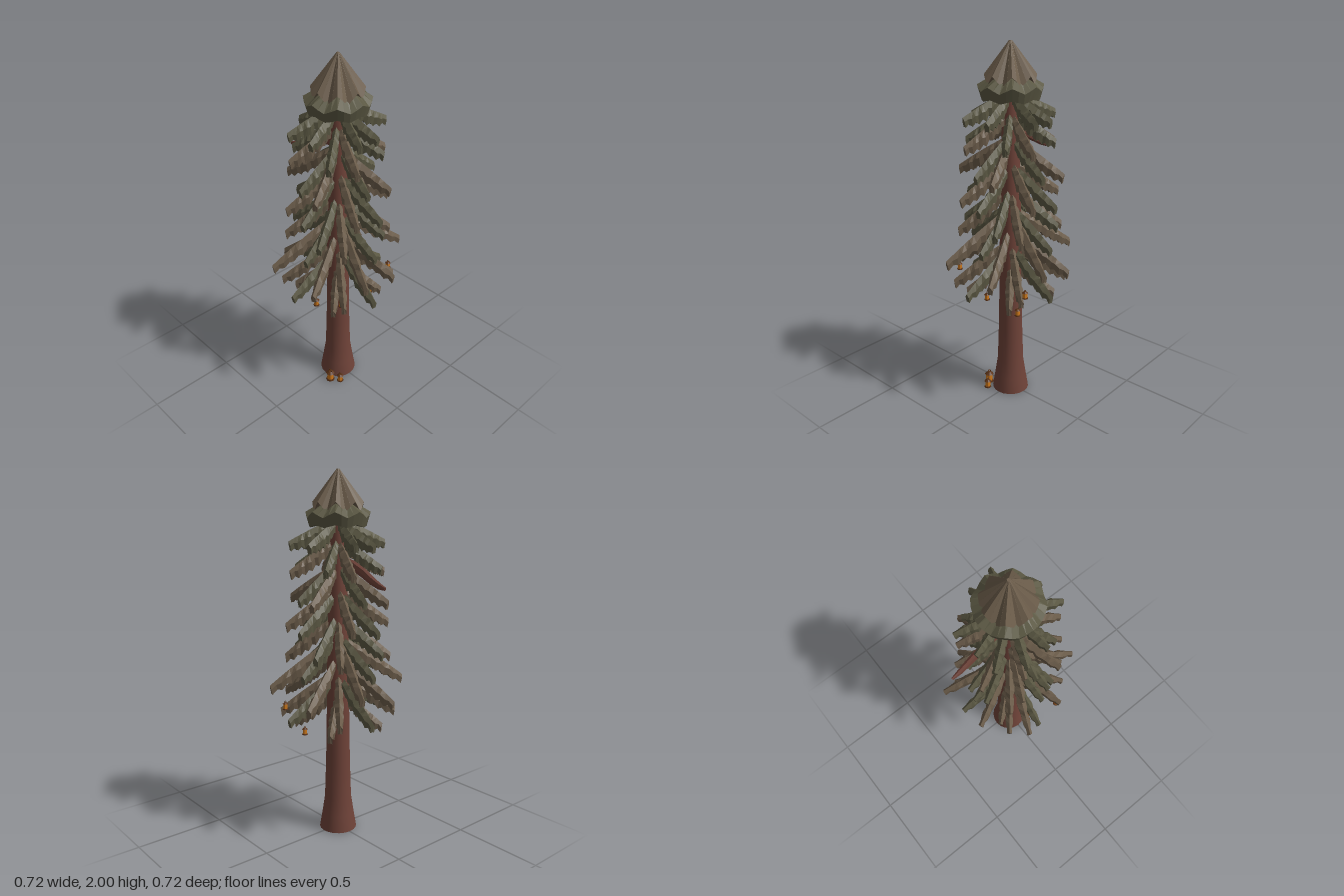
import * as THREE from 'three';
import { toCreasedNormals } from 'three/addons/utils/BufferGeometryUtils.js';

const mat = (color, flat = true) =>
  new THREE.MeshStandardMaterial({ color, flatShading: flat, side: THREE.DoubleSide });
const bark = mat(0x6e4238, false), deadWood = mat(0x6e4238);
const brown = mat(0x6b5c4a), green = mat(0x5b5843);
const amber = mat(0xd07a1c), iron = mat(0x5a3216);

function part(parent, name, geometry, material, x = 0, y = 0, z = 0) {
  const mesh = new THREE.Mesh(geometry, material);
  mesh.name = name;
  mesh.position.set(x, y, z);
  parent.add(mesh);
  return mesh;
}

// Skins a list of equal-length cross-section rings, with both ends closed
function loft(rings) {
  const n = rings[0].length, pos = rings.flat(2), idx = [];
  for (let i = 0; i < rings.length - 1; i++)
    for (let j = 0; j < n; j++) {
      const a = i * n + j, b = i * n + (j + 1) % n;
      idx.push(a, b, a + n, b, b + n, a + n);
    }
  const last = (rings.length - 1) * n;
  for (let j = 1; j < n - 1; j++) idx.push(0, j + 1, j, last, last + j, last + j + 1);
  const g = new THREE.BufferGeometry();
  g.setAttribute('position', new THREE.Float32BufferAttribute(pos, 3));
  g.setIndex(idx);
  g.computeVertexNormals();
  return g;
}

// Drooping bough along +x: a deep, narrow ridged section with ragged lower edges
function boughGeometry(length, droop, tipY) {
  const rings = [], steps = 13, start = 0.03;
  for (let i = 0; i <= steps; i++) {
    const t = i / steps;
    const x = start + (length - start) * t;
    const y = tipY + 0.028 + droop * (1 - 0.85 * t - 0.15 * t * t);
    const swell = Math.sin(Math.PI * (0.08 + 0.8 * t));
    const rag = i % 2 ? 1 : 0.75;
    const w = (0.008 + 0.017 * swell) * (i % 3 ? 1 : 0.75);
    const drop = (0.032 + 0.05 * swell) * rag;
    rings.push([
      [x, y, 0], [x - 0.004, y - drop * 0.4, w], [x - 0.01, y - drop, w * 0.85],
      [x - 0.006, y - drop * 0.9, 0],
      [x - 0.01, y - drop, -w * 0.85], [x - 0.004, y - drop * 0.4, -w],
    ]);
  }
  return loft(rings);
}

// Crown tier from [radius, height, tooth rise, tooth flare] rings, top to bottom
function crownTier(profile) {
  const teeth = 8, per = 4, n = teeth * per;
  return loft(profile.map(([r, y, rise, flare]) => Array.from({ length: n }, (_, j) => {
    const a = -j / n * Math.PI * 2;
    const k = Math.abs((j % per) / per * 2 - 1);
    const rad = r + flare * k;
    return [rad * Math.cos(a), y + rise * k, rad * Math.sin(a)];
  })));
}

// Small lantern, standing on its base or hung by its ring
function lantern(parent, x, y, z, s, name) {
  const g = new THREE.Group();
  g.name = name;
  g.position.set(x, y, z);
  g.scale.setScalar(s);
  part(g, 'lanternBase', new THREE.CylinderGeometry(0.5, 0.55, 0.2, 8), iron, 0, -0.55, 0);
  part(g, 'lanternGlass', new THREE.CylinderGeometry(0.4, 0.4, 0.9, 8), amber);
  part(g, 'lanternCap', new THREE.CylinderGeometry(0.2, 0.55, 0.28, 8), iron, 0, 0.55, 0);
  part(g, 'lanternRing', new THREE.TorusGeometry(0.22, 0.05, 5, 12), iron, 0, 0.75, 0);
  parent.add(g);
}

export function createModel() {
  const tree = new THREE.Group();
  tree.name = 'conifer';

  // Trunk with flared foot
  const profile = [[0, 0], [0.105, 0], [0.09, 0.09], [0.075, 0.19], [0.068, 0.4], [0.064, 0.62],
    [0.059, 1.0], [0.05, 1.4], [0.04, 1.75], [0, 1.78]];
  part(tree, 'trunk', toCreasedNormals(
    new THREE.LatheGeometry(profile.map(p => new THREE.Vector2(...p)), 20), 0.7), bark);

  // Whorls of four boughs: tip height, reach, droop, heading in degrees, colour
  const whorls = [
    [0.61, 0.25, 0.17, 50, brown],
    [0.68, 0.322, 0.20, 5, green],
    [0.69, 0.32, 0.21, 38, brown],
    [0.77, 0.338, 0.22, 67, brown],
    [0.85, 0.385, 0.24, 21, brown],
    [0.92, 0.27, 0.19, -6, green],
    [1.00, 0.29, 0.20, 37, brown],
    [1.03, 0.27, 0.19, 66, green],
    [1.16, 0.292, 0.18, -7, green],
    [1.18, 0.29, 0.18, 24, brown],
    [1.31, 0.295, 0.17, 67, brown],
    [1.32, 0.25, 0.17, 5, green],
    [1.46, 0.265, 0.15, 22, brown],
    [1.48, 0.24, 0.14, 55, green],
    [1.61, 0.27, 0.11, 20, green],
    [1.60, 0.24, 0.11, -12, green],
  ];
  whorls.forEach(([tipY, reach, droop, heading, material], i) => {
    const whorl = new THREE.Group();
    whorl.name = `boughWhorl${i + 1}`;
    const geometry = boughGeometry(reach, droop, tipY);
    for (let k = 0; k < 4; k++)
      part(whorl, 'bough', geometry, material).rotation.y = -(heading * Math.PI / 180 + k * Math.PI / 2);
    tree.add(whorl);
  });

  // Crown: green collar with a wide rim under a brown pointed cap with a toothed hem
  part(tree, 'crownCollar', crownTier([[0.09, 1.83, 0, 0], [0.165, 1.755, 0.03, 0.006],
    [0.152, 1.706, 0.015, 0], [0.03, 1.73, 0, 0]]), green);
  part(tree, 'crownCap', crownTier([[0.008, 2.0, 0, 0], [0.127, 1.785, 0.05, 0.008],
    [0.06, 1.82, 0, 0]]), brown);

  // Bare broken limb on the right side
  const limb = [[-0.03, 1.535, 0, 0.024], [-0.12, 1.515, 0, 0.025], [-0.2, 1.48, 0.003, 0.025],
    [-0.26, 1.447, 0.005, 0.022], [-0.31, 1.425, 0.007, 0.017], [-0.353, 1.414, 0.009, 0.009]];
  part(tree, 'bareLimb', loft(limb.map(([x, y, z, r]) =>
    Array.from({ length: 8 }, (_, j) => {
      const a = j / 8 * Math.PI * 2;
      return [x - 0.4 * r * Math.cos(a), y + r * Math.cos(a), z - 0.75 * r * Math.sin(a)];
    }))), deadWood);

  // Lanterns hung from the lower boughs and standing by the foot
  [[0.125, 0.735, 0.28], [0.16, 0.735, -0.245], [0.11, 0.58, -0.15], [0.11, 0.6, 0.08]]
    .forEach(p => lantern(tree, ...p, 0.03, 'hangingLantern'));
  lantern(tree, 0.058, 0.03, 0.12, 0.048, 'footLantern');
  lantern(tree, 0.108, 0.023, 0.085, 0.037, 'footLantern');

  return tree;
}
